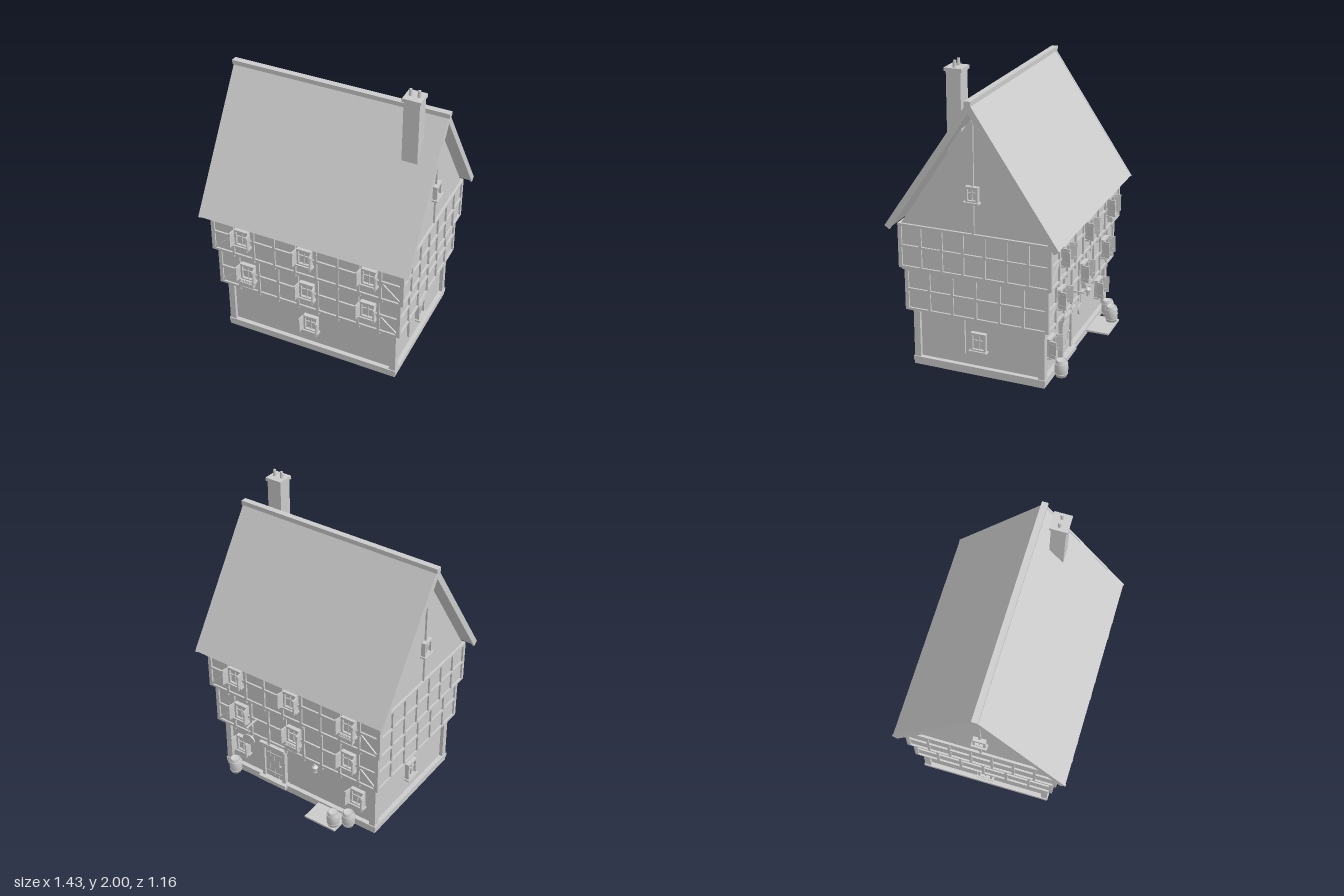
import * as THREE from 'three';

const mat = new THREE.MeshStandardMaterial({ color: 0xcccccc });

function add(parent, name, geo, x = 0, y = 0, z = 0) {
  const m = new THREE.Mesh(geo, mat);
  m.name = name;
  m.position.set(x, y, z);
  parent.add(m);
  return m;
}
const box = (p, name, w, h, d, x, y, z) => add(p, name, new THREE.BoxGeometry(w, h, d), x, y, z);

function group(parent, name, x = 0, y = 0, z = 0) {
  const g = new THREE.Group();
  g.name = name;
  g.position.set(x, y, z);
  parent.add(g);
  return g;
}

// Four sides of a storey: local x runs along the wall, local z points outward
function sides(parent, name, hx, hz) {
  return ['Front', 'Right', 'Back', 'Left'].map((s, i) => {
    const g = group(parent, name + s);
    const d = i % 2 ? hx : hz, a = i * Math.PI / 2;
    g.position.set(Math.sin(a) * d, 0, Math.cos(a) * d);
    g.rotation.y = a;
    return g;
  });
}

// Framed casement window, with optional open shutters and flower box
function addWindow(wall, x, y, { w = 0.1, h = 0.125, shutters = true, flowers = false } = {}) {
  const g = group(wall, 'window', x, y, 0);
  const t = 0.014;
  box(g, 'glass', w, h, 0.012, 0, 0, 0.006);
  for (const s of [-1, 1]) {
    box(g, 'windowJamb', t, h, 0.03, s * (w - t) / 2, 0, 0.013);
    box(g, 'windowRail', w, t, 0.03, 0, s * (h - t) / 2, 0.013);
    if (shutters) {
      const hinge = group(g, 'shutter', s * (w / 2 + 0.002), 0, 0.024);
      hinge.rotation.y = s * 0.2;
      box(hinge, 'shutterBoard', 0.009, h * 0.9, 0.05, 0, 0, 0.022);
      for (const k of [-1, 1]) box(hinge, 'shutterBatten', 0.013, 0.01, 0.046, 0, k * h * 0.3, 0.022);
    }
  }
  box(g, 'mullion', 0.006, h, 0.02, 0, 0, 0.01);
  box(g, 'transom', w, 0.006, 0.02, 0, 0.01, 0.01);
  box(g, 'sill', w + 0.02, 0.01, 0.042, 0, -h / 2, 0.018);
  if (flowers) {
    box(g, 'flowerBox', w, 0.03, 0.032, 0, -h / 2 - 0.025, 0.032);
    for (let i = 0; i < 5; i++) {
      add(g, 'flower', new THREE.IcosahedronGeometry(0.011, 1), (i - 2) * 0.02, -h / 2 - 0.006, 0.034);
    }
  }
}

// Timber frame over one wall
function addFrame(wall, half, y0, y1, bays, diagonals) {
  const t = 0.016, d = 0.024, mid = (y0 + y1) / 2, step = (2 * half - t) / bays;
  for (const y of [y0 + t / 2, mid, y1 - t / 2]) box(wall, 'rail', 2 * half, t, d, 0, y, 0);
  for (let i = 0; i <= bays; i++) {
    box(wall, 'stud', t, y1 - y0, d, -half + t / 2 + i * step, mid, 0);
  }
  if (!diagonals) return;
  const rise = (y1 - y0) / 2 - t;
  for (const s of [-1, 1]) {
    const b = box(wall, 'brace', Math.hypot(step, rise), 0.013, d * 0.8,
      s * (half - step / 2 - t / 2), y0 + rise / 2 + t / 2, 0);
    b.rotation.z = -s * Math.atan2(rise, step);
  }
}

// Joist ends carrying an overhanging storey
function addJoists(wall, half, y, depth) {
  for (let i = 1; i < 9; i++) box(wall, 'joist', 0.016, 0.022, depth, -half + i * half * 2 / 9, y, -depth / 2 + 0.012);
}

function addBarrel(parent, x, z) {
  const g = group(parent, 'barrel', x, 0.04, z);
  const pts = [[0, 0], [0.034, 0], [0.041, 0.03], [0.043, 0.055], [0.041, 0.08], [0.034, 0.11], [0.029, 0.11], [0.029, 0.104], [0, 0.104]];
  add(g, 'barrelBody', new THREE.LatheGeometry(pts.map(p => new THREE.Vector2(...p)), 20));
  for (const [y, r] of [[0.022, 0.0395], [0.088, 0.0395]]) {
    const h = add(g, 'hoop', new THREE.TorusGeometry(r, 0.003, 6, 20), 0, y, 0);
    h.rotation.x = Math.PI / 2;
  }
}

// Polygon in the z-y plane extruded along x
function extrudeX(points, length) {
  const geo = new THREE.ExtrudeGeometry(new THREE.Shape(points.map(p => new THREE.Vector2(...p))), { depth: length, bevelEnabled: false });
  return geo.translate(0, 0, -length / 2).rotateY(Math.PI / 2);
}

export function createModel() {
  const model = new THREE.Group();
  model.name = 'timberFramedHouse';
  const house = group(model, 'house', 0, 0, 0.017);

  // Ground floor
  box(house, 'foundation', 1.2, 0.03, 0.88, 0, 0.015, 0);
  box(house, 'plinth', 1.21, 0.03, 0.89, 0, 0.04, 0);
  box(house, 'groundWalls', 1.15, 0.35, 0.83, 0, 0.22, 0);
  for (const sx of [-1, 1]) for (const sz of [-1, 1]) {
    box(house, 'cornerPost', 0.042, 0.34, 0.042, sx * 0.578, 0.222, sz * 0.418);
  }
  const ground = sides(house, 'ground', 0.575, 0.415);
  addWindow(ground[0], 0, 0.228);
  for (const x of [-0.46, 0.46]) addWindow(ground[2], x, 0.228);
  for (const i of [1, 3]) addWindow(ground[i], 0, 0.228, { shutters: false });

  // Jettied middle and upper storeys
  const storeys = [
    { name: 'middle', hx: 0.635, hz: 0.475, y0: 0.39, y1: 0.672, side: 6, win: 0.55, wx: 0.42, under: 0.07 },
    { name: 'upper', hx: 0.66, hz: 0.5, y0: 0.682, y1: 0.975, side: 7, win: 0.845, wx: 0.435, under: 0.04 },
  ];
  for (const s of storeys) {
    const h = s.y1 - s.y0;
    box(house, s.name + 'Walls', 2 * s.hx - 0.024, h, 2 * s.hz - 0.024, 0, s.y0 + h / 2, 0);
    sides(house, s.name, s.hx - 0.012, s.hz - 0.012).forEach((wall, i) => {
      const long = i % 2 === 0;
      addFrame(wall, long ? s.hx : s.hz, s.y0, s.y1, long ? 9 : s.side, long);
      if (!long) return;
      addJoists(wall, s.hx, s.y0 - 0.01, s.under);
      [-1, 0, 1].forEach(k => {
        const flowers = s.name === 'middle' ? (i === 0 ? k === -1 : k === 0) : (i === 2 && k === 1);
        addWindow(wall, k * s.wx, s.win, { flowers });
      });
    });
  }
  box(house, 'floorBand', 1.29, 0.02, 0.97, 0, 0.677, 0);

  // Gables and attic
  add(house, 'attic', extrudeX([[-0.485, 0.97], [0.485, 0.97], [0, 1.7]], 1.29));
  for (const i of [1, 3]) {
    const gable = sides(house, 'gable', 0.645, 0.485)[i];
    box(gable, 'gablePost', 0.014, 0.7, 0.02, 0, 1.325, 0.002);
    addWindow(gable, 0, 1.228, { w: 0.082, h: 0.1, shutters: false });
  }
  house.children.filter(c => /^gable/.test(c.name) && !c.children.length).forEach(c => house.remove(c));

  // Roof slabs, barge boards and ridge
  const chevron = [[0.56, 0.97], [0, 1.8], [-0.56, 0.97], [-0.533, 0.952], [0, 1.74], [0.533, 0.952]];
  add(house, 'roof', extrudeX(chevron, 1.4));
  const barge = [[0.563, 0.968], [0, 1.804], [-0.563, 0.968], [-0.53, 0.946], [0, 1.732], [0.53, 0.946]];
  for (const s of [-1, 1]) add(house, 'bargeBoard', extrudeX(barge, 0.014), s * 0.7);
  box(house, 'ridge', 1.43, 0.03, 0.04, 0, 1.793, 0);

  // Chimney
  const chimney = group(model, 'chimney', 0.541, 0, 0.157);
  box(chimney, 'stack', 0.1, 1.82, 0.092, 0, 1.04, 0);
  box(chimney, 'chimneyCap', 0.116, 0.022, 0.112, 0, 1.948, 0);
  for (const s of [-1, 1]) add(chimney, 'chimneyPot', new THREE.CylinderGeometry(0.009, 0.012, 0.045, 12), s * 0.027, 1.978, 0);

  // Back door with frame, step and hood
  const door = group(ground[2], 'door', -0.2, 0, 0);
  for (let i = 0; i < 4; i++) box(door, 'doorPlank', 0.034, 0.25, 0.014, (i - 1.5) * 0.036, 0.18, 0.007);
  for (const s of [-1, 1]) {
    box(door, 'doorJamb', 0.022, 0.265, 0.034, s * 0.083, 0.185, 0.012);
    box(door, 'hoodBracket', 0.016, 0.03, 0.03, s * 0.083, 0.325, 0.02);
    box(door, 'doorStrap', 0.13, 0.01, 0.004, 0, 0.18 + s * 0.08, 0.016);
  }
  box(door, 'doorLintel', 0.19, 0.022, 0.036, 0, 0.312, 0.012);
  box(door, 'doorHood', 0.2, 0.012, 0.05, 0, 0.343, 0.022);
  box(door, 'doorStep', 0.22, 0.03, 0.06, 0, 0.045, 0.024);
  add(door, 'doorKnob', new THREE.SphereGeometry(0.008, 10, 8), 0.05, 0.18, 0.02);

  // Hanging lantern
  const lantern = group(model, 'lantern', -0.15, 0.33, -0.442);
  box(lantern, 'lanternArm', 0.008, 0.008, 0.06, 0, 0.04, 0.018);
  add(lantern, 'lanternGlass', new THREE.CylinderGeometry(0.017, 0.012, 0.038, 6));
  add(lantern, 'lanternRoof', new THREE.ConeGeometry(0.022, 0.018, 6), 0, 0.028, 0);
  add(lantern, 'lanternBase', new THREE.CylinderGeometry(0.015, 0.015, 0.006, 6), 0, -0.022, 0);

  // Hanging oval sign, left blank
  const sign = group(model, 'hangingSign', 0.3, 0, -0.545);
  box(sign, 'signArm', 0.009, 0.009, 0.11, 0, 0.54, 0.035);
  box(sign, 'signHanger', 0.004, 0.07, 0.004, 0, 0.505, 0);
  const plate = add(sign, 'signPlate', new THREE.CylinderGeometry(0.047, 0.047, 0.01, 28), 0, 0.434, 0);
  plate.rotation.x = Math.PI / 2;
  plate.scale.z = 0.78;

  // Low platform and barrels
  box(model, 'platform', 0.235, 0.012, 0.155, -0.283, 0.036, -0.506);
  addBarrel(model, -0.36, -0.54);
  addBarrel(model, -0.44, -0.487);
  addBarrel(model, 0.475, -0.487);

  return model;
}
